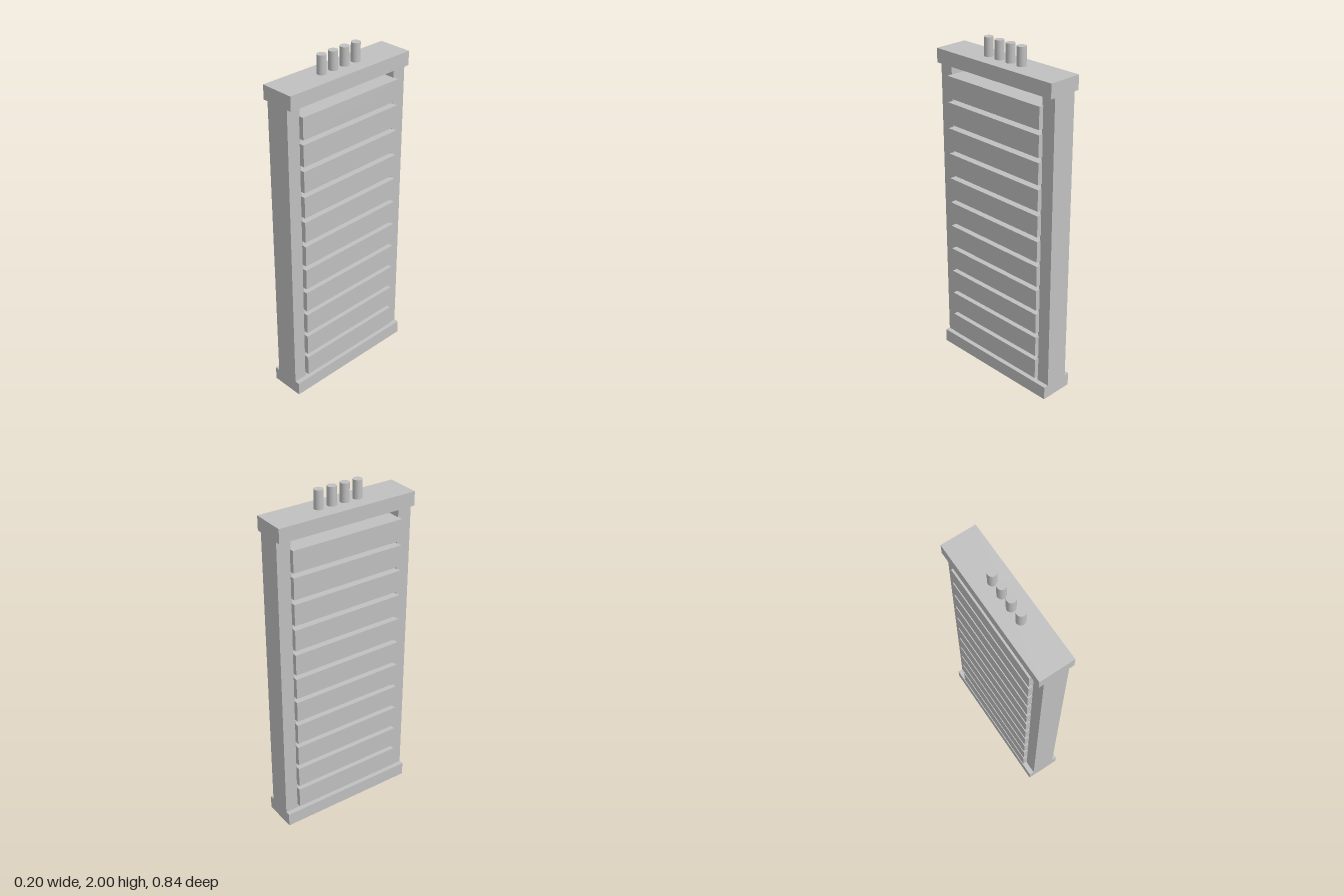
import * as THREE from 'three';

export function createModel() {
  const model = new THREE.Group();
  const grey = new THREE.MeshStandardMaterial({ color: 0xc0c0c0 });
  grey.name = 'light grey';

  function add(name, geometry, x, y, z) {
    const mesh = new THREE.Mesh(geometry, grey);
    mesh.name = name;
    mesh.position.set(x, y, z);
    model.add(mesh);
  }

  // Top and bottom rails
  const rail = new THREE.BoxGeometry(0.202, 0.081, 0.842);
  add('bottomRail', rail, 0, 0.0405, 0);
  add('topRail', rail, 0, 1.8545, 0);

  // Upright posts, flush with the rail ends
  const post = new THREE.BoxGeometry(0.144, 1.733, 0.083);
  for (const side of [1, -1]) {
    add(side > 0 ? 'frontPost' : 'backPost', post, 0, 0.9475, side * 0.3795);
  }

  // Stack of slats, full depth, let slightly into the posts
  const slat = new THREE.BoxGeometry(0.2, 0.125, 0.686);
  for (let i = 0; i < 11; i++) add('slat' + (i + 1), slat, 0, 0.17 + i * 0.1524, 0);

  // Row of round pins on top
  const pin = new THREE.CylinderGeometry(0.0257, 0.0257, 0.105, 32);
  for (let i = 0; i < 4; i++) add('pin' + (i + 1), pin, 0, 1.9475, (i - 1.5) * 0.0805);

  return model;
}
